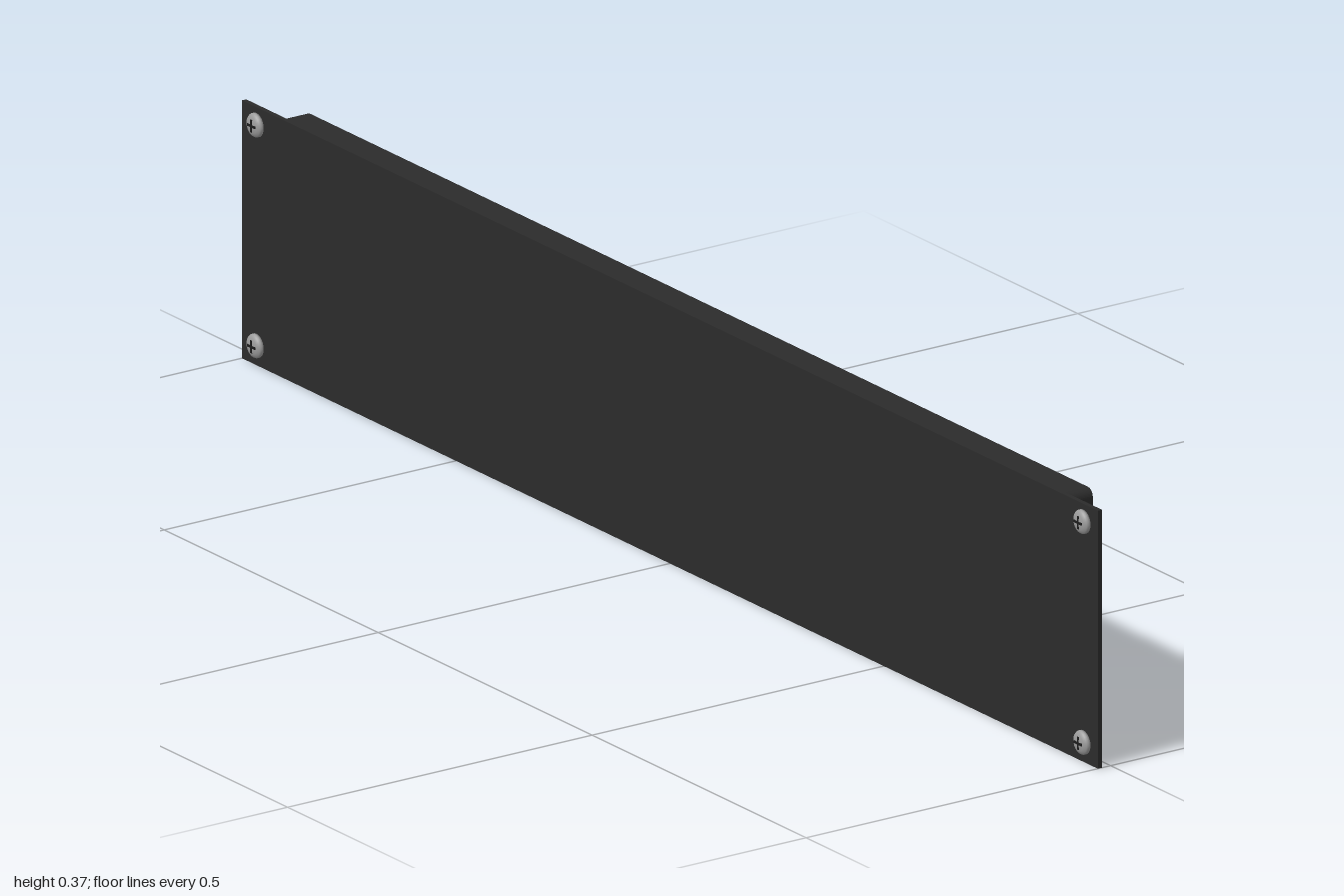
import * as THREE from 'three';

const HEIGHT = 0.368;
const MID_Y = HEIGHT / 2;

function roundedRect(target, w, h, r) {
  const x = w / 2, y = h / 2;
  target.moveTo(-x + r, -y);
  target.lineTo(x - r, -y);
  target.absarc(x - r, -y + r, r, -Math.PI / 2, 0);
  target.lineTo(x, y - r);
  target.absarc(x - r, y - r, r, 0, Math.PI / 2);
  target.lineTo(-x + r, y);
  target.absarc(-x + r, y - r, r, Math.PI / 2, Math.PI);
  target.lineTo(-x, -y + r);
  target.absarc(-x + r, -y + r, r, Math.PI, Math.PI * 1.5);
  return target;
}

export function createModel() {
  const panelBlack = new THREE.MeshStandardMaterial({ color: 0x2b2b2b });
  panelBlack.name = 'panelBlack';
  const screwSteel = new THREE.MeshStandardMaterial({ color: 0x9c9c9c });
  screwSteel.name = 'screwSteel';
  const slotDark = new THREE.MeshStandardMaterial({ color: 0x1c1c1c });
  slotDark.name = 'slotDark';

  const model = new THREE.Group();
  model.name = 'blankingPanel';

  function add(parent, name, geometry, material, x = 0, y = 0, z = 0) {
    const mesh = new THREE.Mesh(geometry, material);
    mesh.name = name;
    mesh.position.set(x, y, z);
    parent.add(mesh);
    return mesh;
  }

  // Thin face plate, with the mounting ears at both ends
  add(model, 'facePlate', new THREE.BoxGeometry(2, HEIGHT, 0.007), panelBlack, 0, MID_Y, 0.0175);

  // Folded rim behind the plate, open at the back
  const rim = roundedRect(new THREE.Shape(), 1.84, 0.364, 0.012);
  rim.holes.push(roundedRect(new THREE.Path(), 1.824, 0.348, 0.006));
  const bevel = 0.002;
  const rimGeometry = new THREE.ExtrudeGeometry(rim, {
    depth: 0.04, curveSegments: 5,
    bevelEnabled: true, bevelSize: bevel, bevelOffset: -bevel, bevelThickness: bevel, bevelSegments: 2,
  });
  add(model, 'rearRim', rimGeometry, panelBlack, 0, MID_Y, -0.026);

  // Four domed screws with crossed slots
  const headProfile = [
    [0, 0], [0.017, 0], [0.017, 0.003], [0.0155, 0.0055], [0.011, 0.0078], [0.005, 0.0088], [0, 0.009],
  ].map(([r, h]) => new THREE.Vector2(r, h));
  const headGeometry = new THREE.LatheGeometry(headProfile, 24);
  headGeometry.rotateX(Math.PI / 2);
  const slotGeometry = new THREE.BoxGeometry(0.018, 0.0035, 0.002);

  for (const x of [-0.966, 0.966]) {
    for (const y of [0.028, 0.343]) {
      const screw = new THREE.Group();
      screw.name = 'screw';
      screw.position.set(x, y, 0.021);
      add(screw, 'screwHead', headGeometry, screwSteel);
      add(screw, 'screwSlot', slotGeometry, slotDark, 0, 0, 0.0085);
      add(screw, 'screwSlot', slotGeometry, slotDark, 0, 0, 0.0084).rotation.z = Math.PI / 2;
      model.add(screw);
    }
  }
  return model;
}
